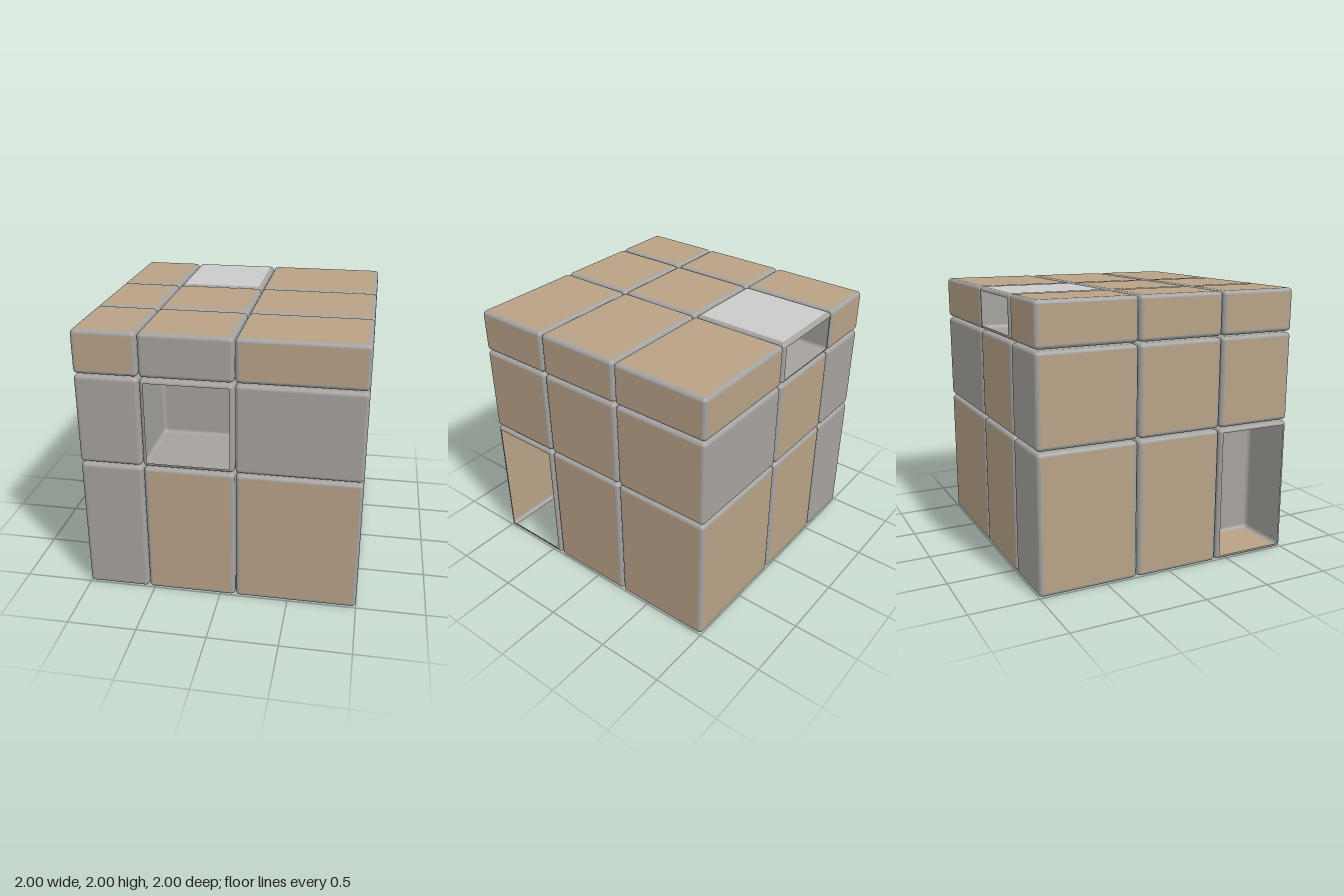
import * as THREE from 'three';
import { RoundedBoxGeometry } from 'three/addons/geometries/RoundedBoxGeometry.js';

const bodyGrey = new THREE.MeshStandardMaterial({ color: 0xa5a29e, side: THREE.DoubleSide });
bodyGrey.name = 'bodyGrey';
const tan = new THREE.MeshStandardMaterial({ color: 0xb8a286, side: THREE.DoubleSide });
tan.name = 'tan';
const paleGrey = new THREE.MeshStandardMaterial({ color: 0xcacaca, side: THREE.DoubleSide });
paleGrey.name = 'paleGrey';

// Uneven slices of the cube along each axis
const X = [[-1, -0.547], [-0.54, 0.11], [0.117, 1]];
const Y = [[0, 1.01], [1.02, 1.677], [1.686, 2]];
const Z = [[-1, -0.26], [-0.252, 0.4], [0.407, 1]];
const BEVEL = 0.03;

// Outer faces, rows from low to high: t = tan, g = bare grey, p = pale, o = open
const FACES = {
  front: ['gtt', 'gog', 'tgt'],  // [y][x]
  back: ['gtt', 'gtg', 'tot'],   // [y][x]
  right: ['tto', 'ttt', 'ttt'],  // [y][z]
  left: ['tto', 'ttt', 'ttt'],   // [y][z]
  top: ['tpt', 'ttt', 'ttt'],    // [z][x]
  bottom: ['tot', 'ott', 'tto'], // [z][x]
};

function faceCode(side, i, j, k) {
  if (side === 'front') return k === 2 ? FACES.front[j][i] : 'g';
  if (side === 'back') return k === 0 ? FACES.back[j][i] : 'g';
  if (side === 'right') return i === 2 ? FACES.right[j][k] : 'g';
  if (side === 'left') return i === 0 ? FACES.left[j][k] : 'g';
  if (side === 'top') return j === 2 ? FACES.top[k][i] : 'g';
  return j === 0 ? FACES.bottom[k][i] : 'g';
}

// Rounded edges and corners only: the flat middle of each side is left out
function bevelFrame(w, h, d) {
  const box = new RoundedBoxGeometry(w, h, d, 3, BEVEL);
  const src = box.index ? box.toNonIndexed() : box;
  const p = src.attributes.position, n = src.attributes.normal;
  const pos = [], nor = [];
  const half = [w / 2, h / 2, d / 2];
  for (let t = 0; t < p.count; t += 3) {
    const flat = half.some((s, axis) => [1, -1].some((sign) =>
      [0, 1, 2].every((c) => sign * p.getComponent(t + c, axis) > s - 1e-4)));
    if (flat) continue;
    for (let c = 0; c < 3; c++) {
      pos.push(p.getX(t + c), p.getY(t + c), p.getZ(t + c));
      nor.push(n.getX(t + c), n.getY(t + c), n.getZ(t + c));
    }
  }
  const geo = new THREE.BufferGeometry();
  geo.setAttribute('position', new THREE.Float32BufferAttribute(pos, 3));
  geo.setAttribute('normal', new THREE.Float32BufferAttribute(nor, 3));
  return geo;
}

// Flat panel on one side of a block
function panel(side, w, h, d, material) {
  const r = 2 * BEVEL;
  const [a, b, dist, rx, ry] = {
    front: [w, h, d, 0, 0],
    back: [w, h, d, 0, Math.PI],
    right: [d, h, w, 0, Math.PI / 2],
    left: [d, h, w, 0, -Math.PI / 2],
    top: [w, d, h, -Math.PI / 2, 0],
    bottom: [w, d, h, Math.PI / 2, 0],
  }[side];
  const geo = new THREE.PlaneGeometry(a - r, b - r);
  geo.translate(0, 0, dist / 2).rotateX(rx).rotateY(ry);
  const mesh = new THREE.Mesh(geo, material);
  mesh.name = side + 'Panel';
  return mesh;
}

export function createModel() {
  const model = new THREE.Group();
  model.name = 'unevenPuzzleCube';
  const paint = { t: tan, g: bodyGrey, p: paleGrey };

  for (let i = 0; i < 3; i++) for (let j = 0; j < 3; j++) for (let k = 0; k < 3; k++) {
    const [w, h, d] = [X[i], Y[j], Z[k]].map(([lo, hi]) => hi - lo);
    const block = new THREE.Group();
    block.name = ['right', 'middle', 'left'][i] + ['Lower', 'Centre', 'Upper'][j] + ['Back', 'Middle', 'Front'][k] + 'Block';
    block.position.set(...[X[i], Y[j], Z[k]].map(([lo, hi]) => (lo + hi) / 2));

    const frame = new THREE.Mesh(bevelFrame(w, h, d), bodyGrey);
    frame.name = 'roundedFrame';
    block.add(frame);
    for (const side of Object.keys(FACES)) {
      const code = faceCode(side, i, j, k);
      if (code !== 'o') block.add(panel(side, w, h, d, paint[code]));
    }
    model.add(block);
  }
  return model;
}
